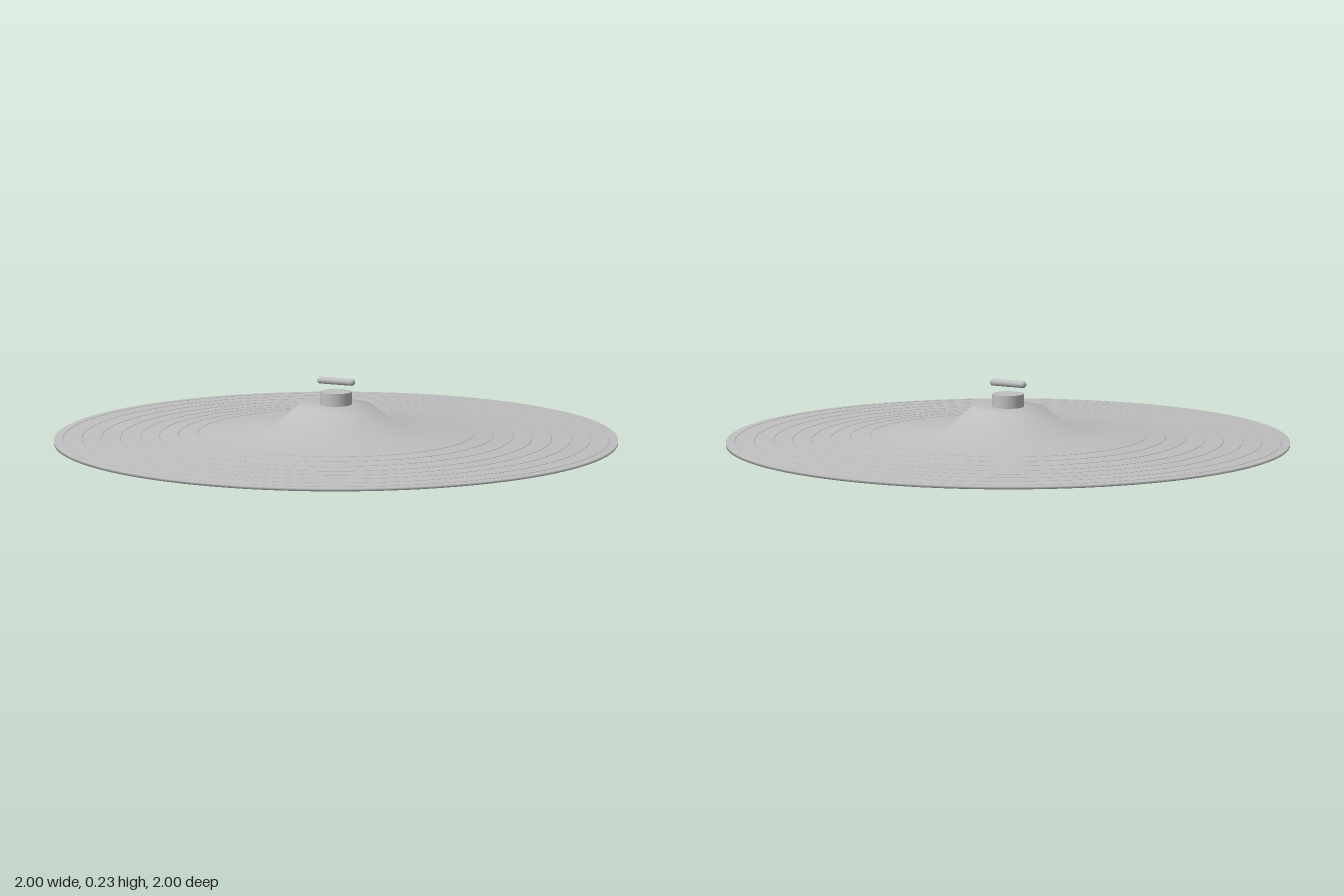
import * as THREE from 'three';

export function createModel() {
  const model = new THREE.Group();
  const metal = new THREE.MeshStandardMaterial({ color: 0xbfbfbf });
  metal.name = 'grey metal';

  const add = (name, geometry, y) => {
    const mesh = new THREE.Mesh(geometry, metal);
    mesh.name = name;
    mesh.position.y = y;
    model.add(mesh);
    return mesh;
  };

  // Upper surface of the disc as [radius, height], from hole to rim
  const top = [[0.04, 0.14], [0.13, 0.136], [0.23, 0.055], [0.7, 0.019], [1, 0.01]];
  const thickness = 0.01;

  // Thin shell: underside outward, up the rim, back over the top, down the hole
  const under = top.map(([r, y]) => new THREE.Vector2(r, y - thickness));
  const upper = top.map(([r, y]) => new THREE.Vector2(r, y)).reverse();
  add('cymbalDisc', new THREE.LatheGeometry([...under, ...upper, under[0].clone()], 96), 0);

  // Height of the upper surface at a given radius
  const heightAt = (r) => {
    const i = top.findIndex(([radius]) => radius >= r);
    const [r0, y0] = top[i - 1];
    const [r1, y1] = top[i];
    return THREE.MathUtils.mapLinear(r, r0, r1, y0, y1);
  };

  // Fine concentric ridges
  for (let i = 0; i < 8; i++) {
    const r = 0.49 + i * 0.0685;
    const ring = new THREE.TorusGeometry(r, 0.0015, 6, 96).rotateX(Math.PI / 2);
    add('ridge' + (i + 1), ring, heightAt(r));
  }

  // Felt washer on the bell
  add('feltWasher', new THREE.CylinderGeometry(0.056, 0.056, 0.05, 32), 0.16);

  // Round-ended wing bar above the washer
  add('wingBar', new THREE.CapsuleGeometry(0.0125, 0.12, 6, 16).rotateZ(Math.PI / 2), 0.222);

  return model;
}
